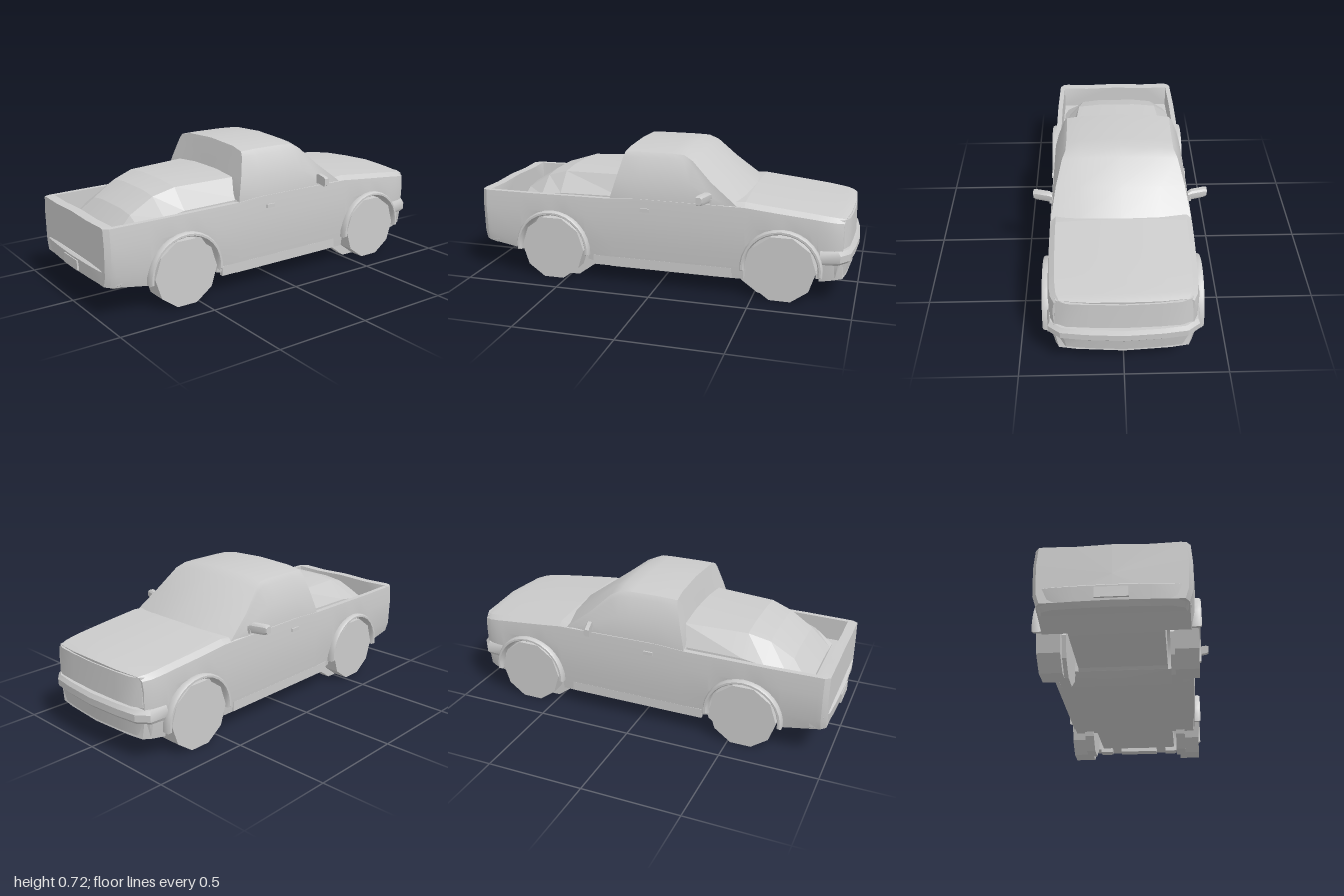
import * as THREE from 'three';
import { toCreasedNormals } from 'three/addons/utils/BufferGeometryUtils.js';

const material = new THREE.MeshStandardMaterial({ color: 0xcccccc });
const WHEELS = [{ x: -0.57, inner: -0.51 }, { x: 0.64, inner: 0.57 }];
const AXLE_Y = 0.165, ARCH_R = 0.188;

// Linear interpolation through [x, value] pairs
function interp(table, x) {
  if (x <= table[0][0]) return table[0][1];
  for (let i = 1; i < table.length; i++) {
    const [x0, v0] = table[i - 1], [x1, v1] = table[i];
    if (x <= x1) return v0 + (v1 - v0) * (x - x0) / (x1 - x0);
  }
  return table[table.length - 1][1];
}

// Mirrors a half section of [x, y, z] points (first and last on z = 0) into a ring
function mirrorRing(half) {
  return [...half, ...half.slice(1, -1).reverse().map(([x, y, z]) => [x, y, -z])];
}

// Closed solid through rings of equal length, facing outwards
function loft(rings, crease = 0.5) {
  const n = rings[0].length, pts = rings.flat(), index = [];
  for (let r = 0; r < rings.length - 1; r++) {
    for (let i = 0; i < n; i++) {
      const a = r * n + i, b = r * n + (i + 1) % n;
      index.push(a, b, a + n, b, b + n, a + n);
    }
  }
  [0, rings.length - 1].forEach((r) => {
    const c = pts.length;
    pts.push([0, 1, 2].map((k) => rings[r].reduce((s, p) => s + p[k], 0) / n));
    for (let i = 0; i < n; i++) {
      const a = r * n + i, b = r * n + (i + 1) % n;
      if (r === 0) index.push(b, a, c); else index.push(a, b, c);
    }
  });
  let volume = 0;
  const v = pts.map((p) => new THREE.Vector3(...p));
  for (let i = 0; i < index.length; i += 3) {
    volume += v[index[i]].dot(v[index[i + 1]].clone().cross(v[index[i + 2]]));
  }
  if (volume < 0) index.reverse();
  const g = new THREE.BufferGeometry();
  g.setAttribute('position', new THREE.Float32BufferAttribute(pts.flat(), 3));
  g.setIndex(index);
  return toCreasedNormals(g, crease);
}

// Lower body: sill, wheel wells, hood and open bed
const BOTTOM = [[-0.98, 0.17], [-0.74, 0.13], [-0.39, 0.125], [-0.36, 0.085], [0.42, 0.085], [0.83, 0.11], [0.96, 0.125]];
const WIDTH = [[-0.98, 0.335], [-0.955, 0.353], [-0.7, 0.36], [0.6, 0.36], [0.85, 0.352], [0.92, 0.343], [0.965, 0.325]];
const SHOULDER = [[-0.98, 0.45], [-0.25, 0.455], [-0.1, 0.465], [0.45, 0.462], [0.92, 0.415], [0.965, 0.41]];
const TOP = [[-0.98, 0.455], [-0.25, 0.46], [0.3, 0.48], [0.45, 0.5], [0.75, 0.468], [0.94, 0.446], [0.97, 0.436]];

function bodySection(x, open) {
  const b = interp(BOTTOM, x), w = interp(WIDTH, x), sh = interp(SHOULDER, x), top = interp(TOP, x);
  let a = b;
  WHEELS.forEach((k) => {
    const d = x - k.x;
    if (Math.abs(d) <= ARCH_R) a = AXLE_Y + Math.sqrt(Math.max(0, ARCH_R ** 2 - d * d));
  });
  const half = [
    [0, b], [0.22, b], [0.22, a], [w - 0.02, a],
    [w - 0.004, Math.max(0.22, a)], [w, Math.max(0.36, a)], [w - 0.008, sh],
    ...(open
      ? [[w - 0.035, sh], [w - 0.035, 0.33], [0, 0.33]]
      : [[w * 0.9, sh + (top - sh) * 0.6], [w * 0.5, top - 0.006], [0, top]]),
  ];
  const bow = x > 0.8 ? 0.035 * (x - 0.8) / 0.165 : 0;
  return mirrorRing(half.map(([z, y]) => [x - bow * (z / 0.33) ** 2, y, z]));
}

function bodyGeometry() {
  const xs = [-0.98, -0.955, -0.931, -0.93, -0.25, -0.249, -0.1, 0.2, 0.3, 0.45, 0.87, 0.92, 0.945, 0.965];
  WHEELS.forEach((k) => {
    xs.push(k.x - ARCH_R - 0.001, k.x + ARCH_R + 0.001);
    for (let i = 0; i <= 8; i++) xs.push(k.x - ARCH_R * Math.cos(i * Math.PI / 8) * 0.9999);
  });
  xs.sort((p, q) => p - q);
  return loft(xs.map((x) => bodySection(x, x >= -0.93 && x <= -0.25)));
}

// Cab: raked rear, crowned roof, bowed windscreen
function cabGeometry() {
  const side = [[0.4, 0.35], [0.47, 0.349], [0.6, 0.318], [0.67, 0.292], [0.7, 0.268]];
  const stations = [[-0.25, 0.714], [-0.1, 0.717], [0.06, 0.717], [0.13, 0.714], [0.19, 0.69], [0.32, 0.595], [0.45, 0.5], [0.48, 0.47]];
  return loft(stations.map(([x, h]) => {
    const low = Math.min(0.47, h - 0.05), mid = (low + h - 0.05) / 2;
    const half = [[0, 0.4], [0.345, 0.4], ...[low, mid, h - 0.048, h - 0.024].map((y) => [interp(side, y), y]),
      [0.2, h - 0.009], [0, h]];
    const bow = x > 0.1 ? 0.05 * Math.min(1, (x - 0.1) / 0.2) : 0;
    return mirrorRing(half.map(([z, y]) => [
      x - bow * (z / 0.34) ** 2 + (x < -0.2 ? Math.max(0, y - 0.46) * 0.28 : 0), y, z]));
  }));
}

// Faceted covered load in the bed
function loadGeometry() {
  const stations = [[-0.87, 0.35, 0.26, 0.2], [-0.77, 0.455, 0.3, 0.19], [-0.65, 0.53, 0.315, 0.2],
    [-0.54, 0.563, 0.318, 0.22], [-0.21, 0.572, 0.32, 0.25]];
  return loft(stations.map(([x, h, wb, wt]) => mirrorRing([
    [x, 0.32, 0], [x, 0.32, wb], [x, 0.32 + (h - 0.32) * 0.55, wb * 0.97],
    [x, h - 0.012, wt], [x, h, 0.1], [x, h, 0]])), 0.2);
}

// Wrap-around bar stacked from [y, end x, half width]; s = 1 at the nose, -1 at the tail
function wrapBar(layers, s, back, round) {
  return loft(layers.map(([y, x, w]) => mirrorRing([
    [s * x, y, 0], [s * (x - round * 0.25), y, w * 0.5], [s * (x - round * 0.6), y, w * 0.82],
    [s * (x - round * 1.6), y, w * 0.98], [s * back, y, w], [s * back, y, 0]])));
}

// Raised lip over a wheel opening
function flareGeometry() {
  const s = new THREE.Shape();
  s.absarc(0, 0, ARCH_R + 0.016, -0.12, Math.PI + 0.12, false);
  s.absarc(0, 0, ARCH_R - 0.006, Math.PI + 0.12, -0.12, true);
  const g = new THREE.ExtrudeGeometry(s, { depth: 0.035, curveSegments: 8,
    bevelEnabled: true, bevelSize: 0.006, bevelThickness: 0.01, bevelOffset: -0.006, bevelSegments: 1 });
  return toCreasedNormals(g, 0.6);
}

// Ten-sided drum lying along z with a flat at the bottom
function drum(radius, width) {
  const g = new THREE.CylinderGeometry(radius, radius, width, 10);
  g.rotateY(Math.PI / 10).rotateX(Math.PI / 2);
  return toCreasedNormals(g, 0.3);
}

export function createModel() {
  const truck = new THREE.Group();
  truck.name = 'pickupTruck';
  const add = (name, geometry, x = 0, y = 0, z = 0, parent = truck) => {
    const m = new THREE.Mesh(geometry, material);
    m.name = name;
    m.position.set(x, y, z);
    parent.add(m);
    return m;
  };
  const box = (x, y, z) => new THREE.BoxGeometry(x, y, z);

  add('body', bodyGeometry());
  add('cab', cabGeometry());
  add('bedLoad', loadGeometry());

  // Nose and tail trim
  add('frontBumper', wrapBar([[0.205, 0.985, 0.352], [0.22, 0.998, 0.36], [0.255, 1, 0.36], [0.275, 0.988, 0.35]], 1, 0.83, 0.045), -0.004);
  add('frontValance', wrapBar([[0.115, 0.94, 0.32], [0.135, 0.965, 0.33], [0.21, 0.978, 0.342]], 1, 0.85, 0.04));
  add('grille', wrapBar([[0.285, 0.974, 0.325], [0.425, 0.97, 0.315]], 1, 0.9, 0.024));
  add('rearBumper', wrapBar([[0.15, 0.965, 0.32], [0.17, 0.99, 0.34], [0.24, 0.998, 0.35], [0.25, 0.985, 0.345]], -1, 0.9, 0.02));
  add('plateRecess', box(0.01, 0.05, 0.15), -0.996, 0.205, 0);
  add('skidPlate', box(0.06, 0.025, 0.22), 0.84, 0.1, 0);

  // Parts on both sides
  [1, -1].forEach((s) => {
    const side = new THREE.Group();
    side.name = s > 0 ? 'leftSide' : 'rightSide';
    side.name = s > 0 ? 'positiveZSide' : 'negativeZSide';
    truck.add(side);
    WHEELS.forEach((k) => {
      add('wheel', drum(0.173, 0.11), k.x, AXLE_Y, s * 0.315, side);
      add('innerWheel', drum(0.173, 0.05), k.inner, AXLE_Y, s * 0.265, side);
      const flare = add('wheelFlare', flareGeometry(), k.x, AXLE_Y, s * 0.34, side);
      if (s < 0) flare.rotation.y = Math.PI;
    });
    const mirror = add('mirror', loft([[0.345, 0.017], [0.36, 0.025], [0.43, 0.024], [0.443, 0.018]].map(([z, h]) => {
      const x = 0.27 - (z - 0.345) * 0.3;
      return [[-0.014, -1], [0.01, -1], [0.016, -0.5], [0.016, 0.6], [0.008, 1], [-0.014, 1]]
        .map(([dx, dy]) => [x + dx, 0.503 + dy * h, z * s]);
    })), 0, 0, 0, side);
    mirror.castShadow = true;
    add('mirrorMount', box(0.03, 0.02, 0.03), 0.27, 0.485, s * 0.345, side);
    add('doorHandle', box(0.05, 0.018, 0.012), -0.06, 0.41, s * 0.358, side);
    add('towHook', box(0.06, 0.03, 0.07), 0.83, 0.1, s * 0.2, side);
    add('sill', box(0.74, 0.05, 0.02), 0.02, 0.115, s * 0.337, side);
  });
  return truck;
}
